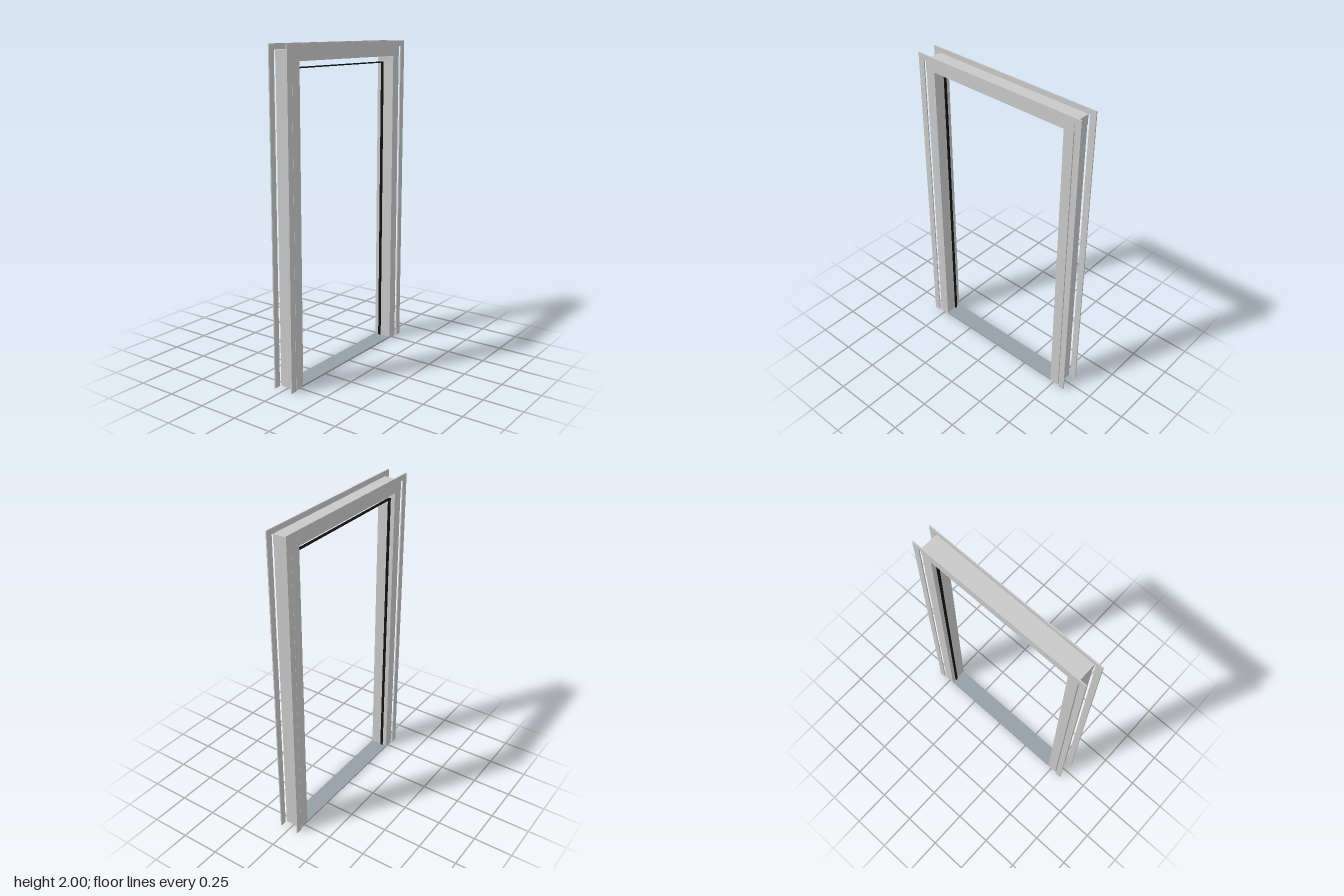
import * as THREE from 'three';

const paint = new THREE.MeshStandardMaterial({ color: 0xc8c8c8 });
paint.name = 'grey paint';
const metal = new THREE.MeshStandardMaterial({ color: 0x959fa6 });
metal.name = 'threshold metal';
const rubber = new THREE.MeshStandardMaterial({ color: 0x111111 });
rubber.name = 'black rubber';

// Box given by its lower and upper limits on each axis
function box(name, material, [x0, x1], [y0, y1], [z0, z1]) {
  const mesh = new THREE.Mesh(new THREE.BoxGeometry(x1 - x0, y1 - y0, z1 - z0), material);
  mesh.position.set((x0 + x1) / 2, (y0 + y1) / 2, (z0 + z1) / 2);
  mesh.name = name;
  return mesh;
}

// Flat trim running up both sides and over the top
function casing(name, z) {
  const w = 0.587, i = 0.547, top = 2, under = 1.966;
  const shape = new THREE.Shape([
    [-w, 0], [-i, 0], [-i, under], [i, under], [i, 0], [w, 0], [w, top], [-w, top],
  ].map(([x, y]) => new THREE.Vector2(x, y)));
  const mesh = new THREE.Mesh(
    new THREE.ExtrudeGeometry(shape, { depth: 0.007, bevelEnabled: false }), paint);
  mesh.position.z = z;
  mesh.name = name;
  return mesh;
}

export function createModel() {
  const group = new THREE.Group();
  group.name = 'doorFrame';
  const depth = [-0.058, 0.058];
  const sealDepth = [-0.03, -0.014];

  // Jambs with seals on their inner faces
  for (const [side, s] of [['left', 1], ['right', -1]]) {
    const span = (a, b) => (s > 0 ? [a, b] : [-b, -a]);
    group.add(box(side + 'Jamb', paint, span(0.472, 0.536), [0, 1.905], depth));
    group.add(box(side + 'Seal', rubber, span(0.465, 0.472), [0.008, 1.868], sealDepth));
  }

  // Header, with its seal bar set below it
  group.add(box('header', paint, [-0.539, 0.539], [1.905, 1.968], depth));
  group.add(box('topSeal', rubber, [-0.472, 0.472], [1.861, 1.868], sealDepth));

  // Threshold plate between the jambs
  group.add(box('threshold', metal, [-0.472, 0.472], [0, 0.009], depth));

  // Casings on both faces
  group.add(casing('frontCasing', 0.059));
  group.add(casing('backCasing', -0.066));
  return group;
}
